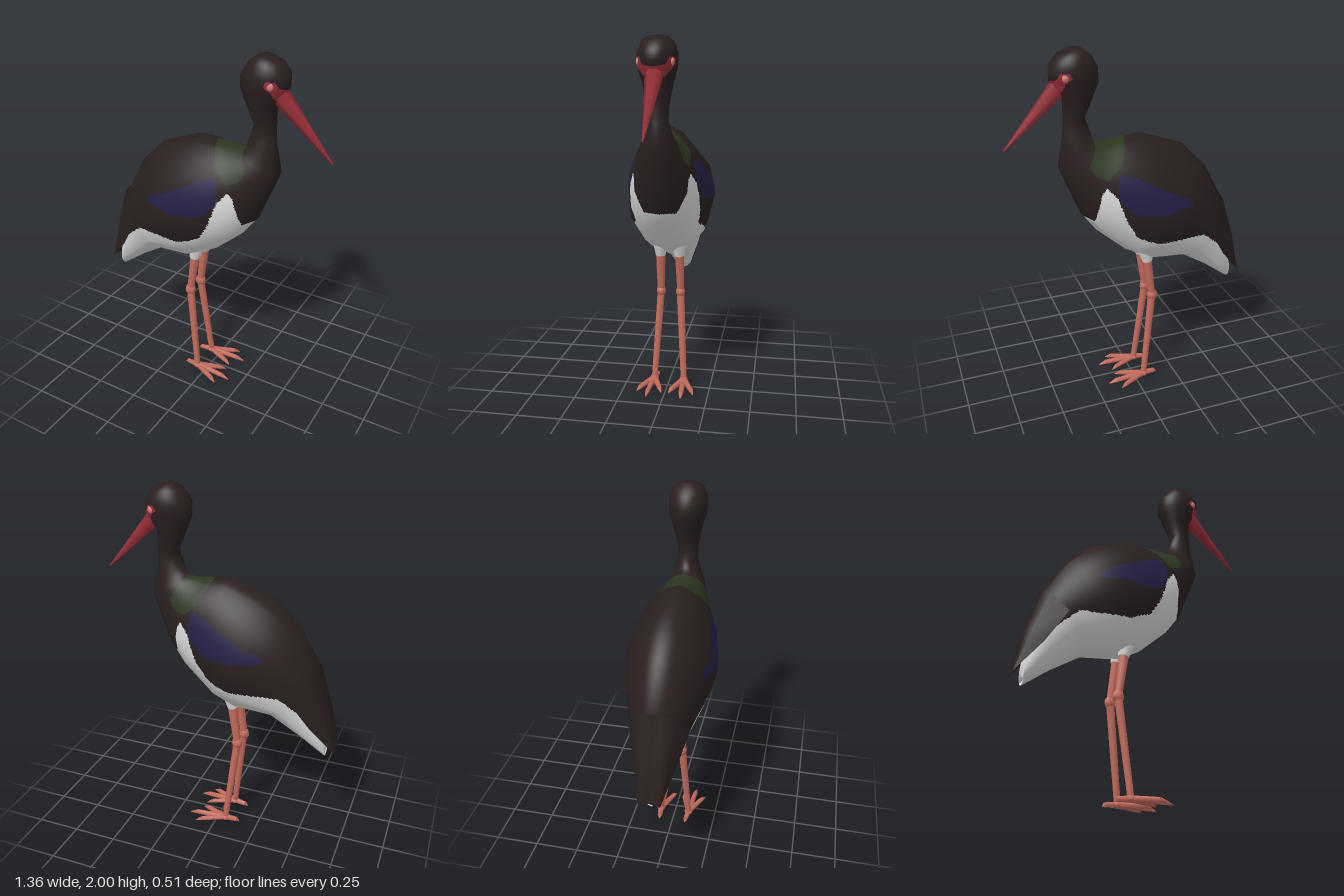
import * as THREE from 'three';

const mat = (name, color, side = THREE.FrontSide) => {
  const m = new THREE.MeshStandardMaterial({ color, side });
  m.name = name;
  return m;
};
const V = (x, y, z) => new THREE.Vector3(x, y, z);

// Body sections from crown to tail: back point x, y, front point x, y, half width, roof sharpness
const SECTIONS = [
  [0.295, 2.0, 0.295, 2.0, 0, 1],
  [0.255, 2.0, 0.325, 2.0, 0.05, 1],
  [0.205, 1.96, 0.385, 1.975, 0.087, 1],
  [0.17, 1.90, 0.43, 1.92, 0.107, 1],
  [0.17, 1.83, 0.43, 1.85, 0.102, 1],
  [0.21, 1.74, 0.365, 1.76, 0.076, 1],
  [0.25, 1.65, 0.365, 1.65, 0.06, 1],
  [0.225, 1.58, 0.37, 1.57, 0.056, 1],
  [0.20, 1.51, 0.40, 1.39, 0.095, 1.2],
  [0.07, 1.52, 0.29, 1.12, 0.155, 1.4],
  [-0.06, 1.535, 0.20, 1.0, 0.208, 1.4],
  [-0.30, 1.45, 0.03, 0.85, 0.256, 1.4],
  [-0.45, 1.30, -0.08, 0.79, 0.217, 1.3],
  [-0.56, 1.10, -0.30, 0.77, 0.163, 1.2],
  [-0.60, 0.85, -0.48, 0.66, 0.108, 1],
  [-0.625, 0.69, -0.622, 0.555, 0.055, 1],
  [-0.615, 0.62, -0.615, 0.62, 0, 1],
];

// Plumage patches as side outlines; anything outside them is dark
const PATCHES = [
  [1, [[0.40, 1.09], [0.235, 1.095], [0.225, 1.14], [0.22, 1.2], [0.205, 1.27], [0.18, 1.3], [0.13, 1.24], [0.08, 1.1],
    [0.02, 1.0], [-0.1, 0.95], [-0.38, 0.95], [-0.5, 0.85], [-0.61, 0.71], [-0.7, 0.69], [-0.7, 0.4], [0.4, 0.4]]],
  [2, [[-0.3, 1.18], [-0.1, 1.28], [0.03, 1.35], [0.1, 1.365], [0.125, 1.34], [0.13, 1.24], [0.06, 1.155], [-0.02, 1.135], [-0.28, 1.15]]],
  [3, [[0.03, 1.6], [0.04, 1.52], [0.1, 1.4], [0.17, 1.34], [0.23, 1.36], [0.26, 1.41], [0.205, 1.51], [0.19, 1.6]]],
  [4, [[0.33, 1.87], [0.345, 1.897], [0.385, 1.895], [0.4, 1.865], [0.46, 1.83], [0.46, 1.79], [0.375, 1.8], [0.365, 1.845]]],
];

function inside(x, y, poly) {
  let hit = false;
  poly.forEach(([ax, ay], i) => {
    const [bx, by] = poly[(i + 1) % poly.length];
    if ((ay > y) !== (by > y) && x < ax + (bx - ax) * (y - ay) / (by - ay)) hit = !hit;
  });
  return hit;
}

// Coarse loft whose faces are finely divided, so that patches can be coloured
function bodyGeometry() {
  const N = 12, KV = 20, KU = 12, M = SECTIONS.length;
  const pos = [], idx = [];
  for (const [ax, ay, bx, by, w, roof] of SECTIONS) {
    for (let j = 0; j < N; j++) {
      const t = j / N * Math.PI * 2, c = Math.cos(t) / 2, s = Math.sin(t);
      const z = w * Math.sign(s) * Math.abs(s) ** (c > 0 ? roof : 1);
      pos.push((ax + bx) / 2 + (ax - bx) * c, (ay + by) / 2 + (ay - by) * c, z);
    }
  }
  for (let i = 0; i < M - 1; i++) for (let j = 0; j < N; j++) {
    const a = i * N + j, c = i * N + (j + 1) % N;
    idx.push(a, a + N, c, a + N, c + N, c);
  }
  const coarse = new THREE.BufferGeometry();
  coarse.setAttribute('position', new THREE.Float32BufferAttribute(pos, 3));
  coarse.setIndex(idx);
  coarse.computeVertexNormals();

  const sample = (attr, i, j, v, u) => {
    const at = (r, s) => V().fromBufferAttribute(attr, r * N + s % N);
    return at(i, j).lerp(at(i, j + 1), u).lerp(at(i + 1, j).lerp(at(i + 1, j + 1), u), v);
  };
  const P = [], Q = [], lists = [[], [], [], [], []];
  for (let i = 0; i < M - 1; i++) for (let j = 0; j < N; j++) {
    const base = P.length / 3;
    for (let v = 0; v <= KV; v++) for (let u = 0; u <= KU; u++) {
      P.push(...sample(coarse.attributes.position, i, j, v / KV, u / KU));
      Q.push(...sample(coarse.attributes.normal, i, j, v / KV, u / KU).normalize());
    }
    for (let v = 0; v < KV; v++) for (let u = 0; u < KU; u++) {
      const a = base + v * (KU + 1) + u, b = a + KU + 1;
      for (const tri of [[a, b, a + 1], [b, b + 1, a + 1]]) {
        const x = tri.reduce((s, k) => s + P[k * 3], 0) / 3;
        const y = tri.reduce((s, k) => s + P[k * 3 + 1], 0) / 3;
        const patch = PATCHES.find(([, poly]) => inside(x, y, poly));
        lists[patch ? patch[0] : 0].push(...tri);
      }
    }
  }
  const g = new THREE.BufferGeometry();
  g.setAttribute('position', new THREE.Float32BufferAttribute(P, 3));
  g.setAttribute('normal', new THREE.Float32BufferAttribute(Q, 3));
  g.setIndex(lists.flat());
  let start = 0;
  lists.forEach((l, k) => { g.addGroup(start, l.length, k); start += l.length; });
  return g;
}

// Tapered rod between two points
function rod(name, a, b, ra, rb, material, sides = 8) {
  const d = b.clone().sub(a);
  const mesh = new THREE.Mesh(new THREE.CylinderGeometry(rb, ra, d.length(), sides), material);
  mesh.position.copy(a).add(b).multiplyScalar(0.5);
  mesh.quaternion.setFromUnitVectors(V(0, 1, 0), d.normalize());
  mesh.name = name;
  return mesh;
}

// Folded sheet from the middle valley over the ridge to the flank, reaching past the tail
function wingTipGeometry(s) {
  const rows = [
    [[-0.563, 1.1, 0], [-0.556, 1.09, 0.05], [-0.526, 1.05, 0.118], [-0.435, 0.94, 0.166]],
    [[-0.612, 0.85, 0], [-0.632, 0.85, 0.045], [-0.607, 0.83, 0.088], [-0.545, 0.77, 0.114]],
    [[-0.672, 0.615, 0], [-0.682, 0.61, 0.045], [-0.68, 0.61, 0.06], [-0.66, 0.635, 0.064]],
  ];
  const idx = [];
  for (let i = 0; i < 2; i++) for (let j = 0; j < 3; j++) {
    const a = i * 4 + j;
    const quad = [a, a + 4, a + 1, a + 4, a + 5, a + 1];
    idx.push(...(s > 0 ? quad : quad.reverse()));
  }
  const g = new THREE.BufferGeometry();
  g.setAttribute('position', new THREE.Float32BufferAttribute(rows.flat().flatMap(([x, y, z]) => [x, y, z * s]), 3));
  g.setIndex(idx);
  g.computeVertexNormals();
  return g;
}

export function createModel() {
  const group = new THREE.Group();
  const dark = mat('dark plumage', 0x2a1f1f), white = mat('white plumage', 0xdedede);
  const blue = mat('blue sheen', 0x262046), green = mat('green sheen', 0x2b361f);
  const red = mat('red bill', 0x932d37), leg = mat('leg skin', 0xc46c5c);
  const eyeMat = mat('eye', 0xd08078);
  const wingMat = mat('wing tip plumage', 0x2a1f1f, THREE.DoubleSide);
  const add = (name, geo, material, parent = group) => {
    const m = new THREE.Mesh(geo, material);
    m.name = name;
    parent.add(m);
    return m;
  };

  add('body', bodyGeometry(), [dark, white, blue, green, red]);
  group.add(rod('bill', V(0.37, 1.825, 0), V(0.678, 1.512, 0), 0.05, 0.004, red, 6));

  for (const s of [1, -1]) {
    // the bird looks along +x, so +z is its right
    const flank = s > 0 ? 'right' : 'left';
    add(flank + 'WingTip', wingTipGeometry(s), wingMat);
    const eye = add(flank + 'Eye', new THREE.SphereGeometry(0.02, 8, 6), eyeMat);
    eye.position.set(0.362, 1.873, s * 0.086);
    eye.scale.z = 0.5;

    // Leg with thigh, knee and four toes
    const limb = new THREE.Group();
    limb.name = flank + 'Leg';
    group.add(limb);
    const hip = V(-0.085, 0.78, s * 0.055), knee = V(-0.115, 0.55, s * 0.058), ankle = V(-0.055, 0.025, s * 0.088);
    limb.add(
      rod('thigh', V(-0.065, 0.9, s * 0.05), hip, 0.058, 0.03, white),
      rod('upperLeg', V(-0.08, 0.81, s * 0.055), knee, 0.028, 0.021, leg),
      rod('lowerLeg', knee, ankle, 0.023, 0.018, leg),
    );
    const joint = add('knee', new THREE.SphereGeometry(0.033, 8, 6), leg, limb);
    joint.position.copy(knee);
    joint.scale.set(1, 1.1, 0.85);
    const foot = add('footJoint', new THREE.SphereGeometry(0.026, 8, 6), leg, limb);
    foot.position.copy(ankle).setY(0.02);
    foot.scale.y = 0.75;
    for (const [x, z] of [[0.17, 0.1], [0.11, 0.165], [0.11, 0.022], [-0.14, 0.08]]) {
      const mid = V(-0.055 + (x + 0.055) * 0.8, 0.015, s * (0.088 + (z - 0.088) * 0.8));
      limb.add(
        rod('toe', V(-0.055, 0.02, s * 0.088), mid, 0.018, 0.014, leg, 6),
        rod('claw', mid, V(x, 0.004, s * z), 0.014, 0.003, leg, 6),
      );
    }
  }
  return group;
}
